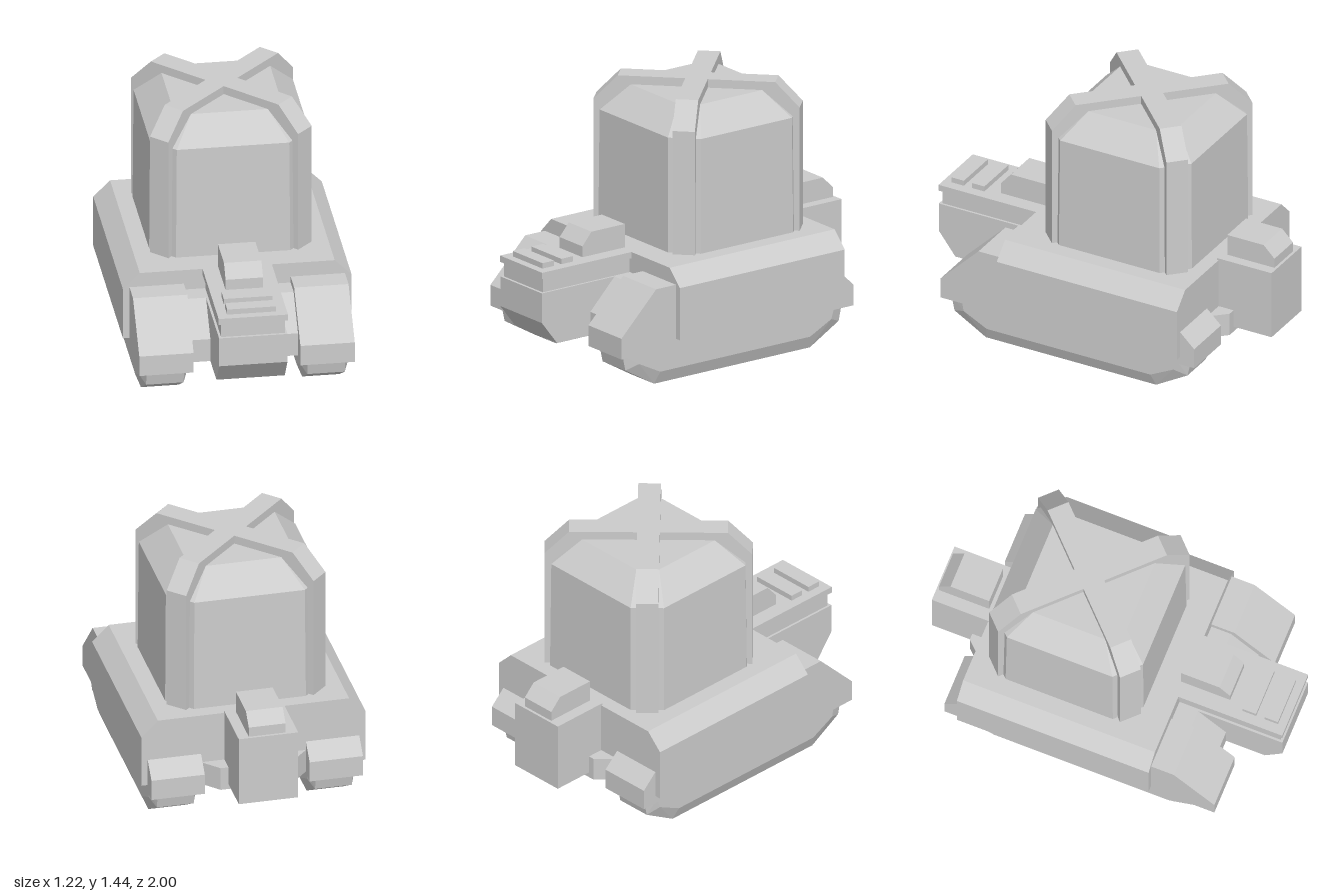
import * as THREE from 'three';
import { ConvexGeometry } from 'three/addons/geometries/ConvexGeometry.js';

const material = new THREE.MeshStandardMaterial({ color: 0xcccccc, flatShading: true });

export function createModel() {
  const model = new THREE.Group();
  model.name = 'trackedVehicle';

  const add = (name, geometry, x = 0, y = 0, z = 0, parent = model) => {
    const mesh = new THREE.Mesh(geometry, material);
    mesh.name = name;
    mesh.position.set(x, y, z);
    parent.add(mesh);
    return mesh;
  };
  const extrude = (points, depth) => {
    const shape = new THREE.Shape(points.map(([a, b]) => new THREE.Vector2(a, b)));
    return new THREE.ExtrudeGeometry(shape, { depth, bevelEnabled: false }).translate(0, 0, -depth / 2);
  };
  // Side profile given as [z, y], spanning a width in x
  const sideProfile = (points, width) => extrude(points, width).rotateY(-Math.PI / 2);
  // Box given by its limits
  const box = (name, x0, x1, y0, y1, z0, z1) =>
    add(name, new THREE.BoxGeometry(x1 - x0, y1 - y0, z1 - z0), (x0 + x1) / 2, (y0 + y1) / 2, (z0 + z1) / 2);

  // Upper hull with chamfered shoulders
  add('hull', extrude([[-0.61, 0.24], [0.61, 0.24], [0.61, 0.53], [0.52, 0.62], [-0.52, 0.62], [-0.61, 0.53]], 1.09), 0, 0, -0.135);

  // Belly between the tracks, with a sloped front
  add('belly', sideProfile([[-0.68, 0.21], [0.68, 0.21], [0.68, 0.34], [0.52, 0.505], [-0.67, 0.505]], 0.58));

  // Tapered tail below the rear box
  add('tail', extrude([[-0.285, 0.68], [0.285, 0.68], [0.2, 0.77], [-0.2, 0.77]], 0.13).rotateX(-Math.PI / 2), 0, 0.275, 0);

  // Fenders and tracks on both sides
  const fenderProfile = [[-0.765, 0.195], [0.77, 0.195], [0.77, 0.31], [0.54, 0.54], [0.3, 0.54], [-0.5, 0.4], [-0.67, 0.4], [-0.765, 0.31]];
  const treadOutline = [[0.73, 0.2], [0.71, 0.11], [0.52, 0], [-0.51, 0], [-0.7, 0.11], [-0.72, 0.2]];
  const sideOutline = [[0.65, 0.2], [0.64, 0.14], [0.5, 0.07], [-0.49, 0.07], [-0.63, 0.14], [-0.65, 0.2]];
  const trackPoints = [[treadOutline, 0.1], [sideOutline, 0.128]].flatMap(([outline, half]) =>
    outline.flatMap(([z, y]) => [-half, half].map((x) => new THREE.Vector3(x, y, z))));
  for (const [side, s] of [['left', 1], ['right', -1]]) {
    add(side + 'Fender', sideProfile(fenderProfile, 0.29), s * 0.43);
    add(side + 'Track', new ConvexGeometry(trackPoints), s * 0.43);
  }

  // Nose: lower block, recessed band, cover plate and slats
  add('noseBlock', sideProfile([[0.4, 0.21], [0.9, 0.21], [1, 0.34], [1, 0.505], [0.4, 0.505]], 0.365));
  box('noseBand', -0.17, 0.17, 0.5, 0.59, 0.4, 0.985);
  box('nosePlate', -0.185, 0.185, 0.585, 0.62, 0.4, 1);
  for (const z of [0.793, 0.917]) box('noseSlat', -0.133, 0.128, 0.61, 0.65, z - 0.038, z + 0.038);
  add('frontHatch', sideProfile([[0.39, 0.6], [0.67, 0.6], [0.67, 0.68], [0.61, 0.75], [0.39, 0.75]], 0.2));

  // Rear box with its hatch
  box('rearBox', -0.165, 0.158, 0.24, 0.63, -1, -0.67);
  add('rearHatch', sideProfile([[-0.7, 0.6], [-0.985, 0.6], [-0.985, 0.685], [-0.92, 0.75], [-0.7, 0.75]], 0.2));

  // Cabin: eight-sided walls with a sloped roof
  const cabin = new THREE.Group();
  cabin.name = 'cabin';
  cabin.position.z = -0.17;
  model.add(cabin);
  const cabinPoints = [];
  for (const [y, far, near] of [[0.6, 0.43, 0.305], [1.255, 0.425, 0.3], [1.393, 0.29, 0.205]])
    for (const sx of [-1, 1])
      for (const sz of [-1, 1])
        cabinPoints.push(new THREE.Vector3(sx * far, y, sz * near), new THREE.Vector3(sx * near, y, sz * far));
  add('cabinShell', new ConvexGeometry(cabinPoints), 0, 0, 0, cabin);

  // Two crossing frames running over the corners and roof
  const frameShape = [[-0.55, 0.6], [-0.55, 1.305], [-0.42, 1.44], [0.42, 1.44], [0.55, 1.305], [0.55, 0.6],
    [0.47, 0.6], [0.47, 1.25], [0.35, 1.36], [-0.35, 1.36], [-0.47, 1.25], [-0.47, 0.6]];
  for (const angle of [Math.PI / 4, -Math.PI / 4])
    add('cornerFrame', extrude(frameShape, 0.12), 0, 0, 0, cabin).rotation.y = angle;

  return model;
}
